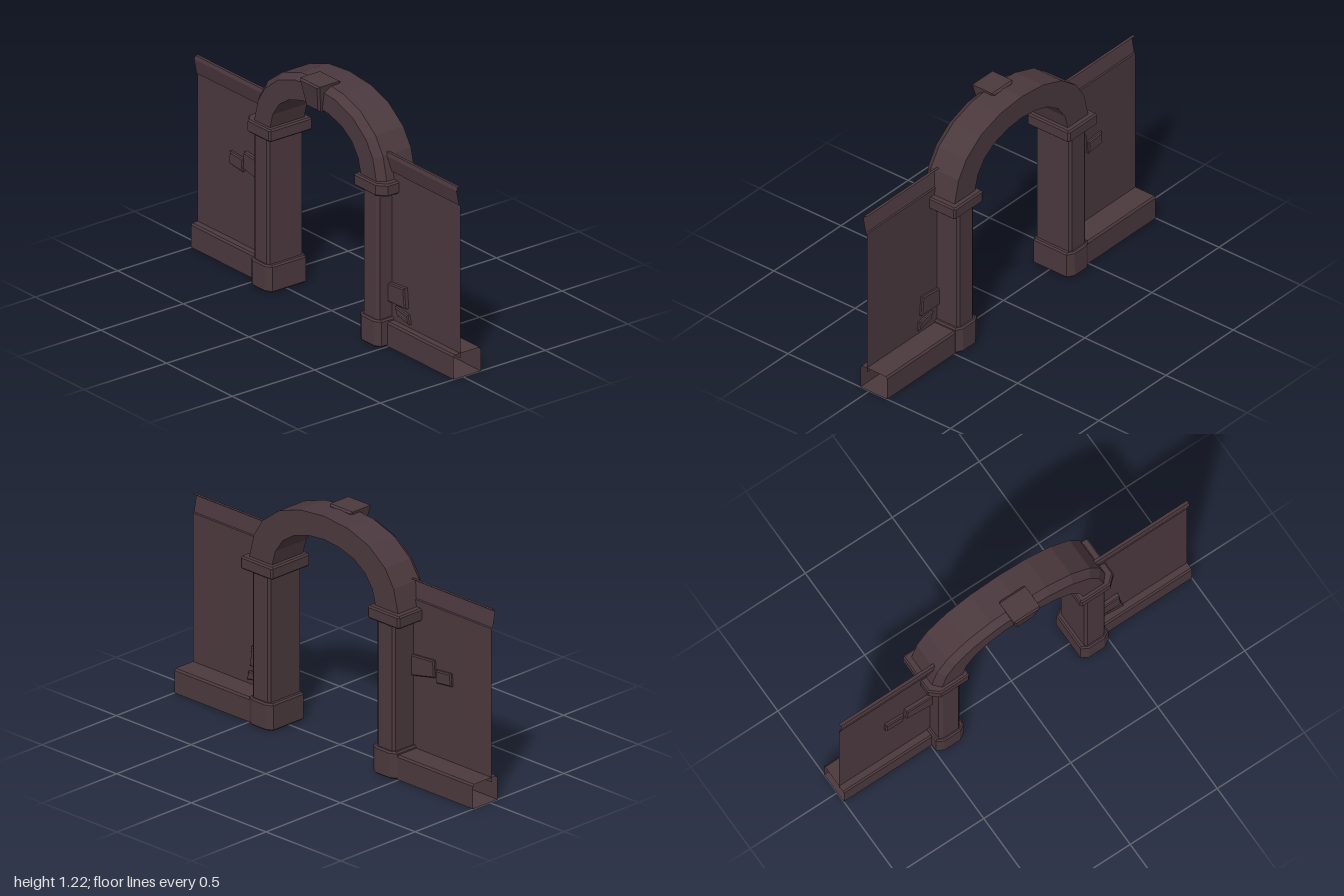
import * as THREE from 'three';

const stone = new THREE.MeshStandardMaterial({ color: 0x4a383d, side: THREE.DoubleSide, flatShading: true });
stone.name = 'darkStone';

function add(group, name, geometry) {
  const mesh = new THREE.Mesh(geometry, stone);
  mesh.name = name;
  group.add(mesh);
  return mesh;
}

// Skin a row of cross-sections (arrays of [x, y, z]); closed joins last point to first
function loft(rings, closed) {
  const n = rings[0].length, index = [];
  for (let i = 0; i < rings.length - 1; i++) {
    for (let j = 0; j < (closed ? n : n - 1); j++) {
      const k = (j + 1) % n;
      const a = i * n + j, b = a + n, c = (i + 1) * n + k, d = i * n + k;
      index.push(a, b, d, b, c, d);
    }
  }
  const g = new THREE.BufferGeometry();
  g.setAttribute('position', new THREE.Float32BufferAttribute(rings.flat(2), 3));
  g.setIndex(index);
  const flat = g.toNonIndexed();
  flat.computeVertexNormals();
  return flat;
}

// Sweep a [z, y] profile along x
const sweep = (profile, x0, x1, closed) =>
  loft([x0, x1].map(x => profile.map(([z, y]) => [x, y, z])), closed);

// Flat shape with a small chamfer on both ends, total thickness depth
function slab(points, depth, bevel) {
  const shape = new THREE.Shape(points.map(p => new THREE.Vector2(p[0], p[1])));
  return new THREE.ExtrudeGeometry(shape, {
    depth: depth - 2 * bevel, bevelEnabled: bevel > 0, bevelSegments: 1,
    bevelSize: bevel, bevelThickness: bevel, bevelOffset: -bevel,
  }).translate(0, 0, bevel);
}

// Upright block with chamfered corners; [cx, cz] is the chamfer, s the side
function block(s, xIn, xOut, zBack, zFront, y0, y1, inner, outer, bevel) {
  const pts = [
    [xIn + inner[0], zFront], [xOut - outer[0], zFront],
    [xOut, zFront - outer[1]], [xOut, zBack + inner[1]],
    [xOut - inner[0], zBack], [xIn + inner[0], zBack],
    [xIn, zBack + inner[1]], [xIn, zFront - inner[1]],
  ].map(([x, z]) => [s * x, -z]);
  return slab(pts, y1 - y0, bevel).rotateX(-Math.PI / 2).translate(0, y0, 0);
}

export function createModel() {
  const model = new THREE.Group();
  model.name = 'archedGateway';

  // Pillars and wall on each side
  for (const s of [1, -1]) {
    const side = new THREE.Group();
    side.name = s > 0 ? 'leftSide' : 'rightSide';
    model.add(side);

    add(side, 'pillarBase', block(s, 0.335, 0.495, -0.132, 0.112, 0, 0.14, [0.035, 0.02], [0.035, 0.02], 0.008));
    add(side, 'pillarShaft', block(s, 0.357, 0.478, -0.116, 0.098, 0.13, 0.8, [0.014, 0.01], [0.018, 0.012], 0));
    add(side, 'pillarCapital', block(s, 0.318, 0.532, -0.14, 0.12, 0.79, 0.855, [0.01, 0.008], [0.045, 0.04], 0.008));

    const x0 = s > 0 ? 0.43 : -1, x1 = s > 0 ? 1 : -0.43;
    add(side, 'wallPanel', sweep([[0.015, 0.1], [0.015, 0.89]], x0, x1));
    add(side, 'wallCoping', sweep([[0.015, 0.89], [0.022, 0.893], [0.037, 0.97], [0.03, 0.988], [0.015, 0.988]], x0, x1));
    add(side, 'wallPlinth', sweep([[0.055, 0], [0.055, 0.115], [0.047, 0.125],
      [-0.102, 0.125], [-0.11, 0.115], [-0.11, 0]], x0, x1, true));
  }

  // Arch: half outlines mirrored, with a chamfer on the outer front edge
  const outer = [[0.5, 0.845], [0.468, 0.975], [0.41, 1.065], [0.3, 1.148], [0.16, 1.195], [0, 1.21]];
  const rim = [[0.467, 0.845], [0.437, 0.965], [0.385, 1.045], [0.285, 1.122], [0.152, 1.168], [0, 1.183]];
  const inner = [[0.348, 0.845], [0.325, 0.93], [0.275, 1.0], [0.2, 1.05], [0.1, 1.08], [0, 1.09]];
  const rings = [];
  for (let i = 0; i <= 10; i++) {
    const k = i <= 5 ? i : 10 - i, s = i <= 5 ? 1 : -1;
    const at = (line, z) => [s * line[k][0], line[k][1], z];
    rings.push([at(outer, -0.11), at(outer, 0.06), at(rim, 0.098), at(inner, 0.098), at(inner, -0.11)]);
  }
  add(model, 'arch', loft(rings, true));

  // Keystone: wedge whose front leans outward at the top
  const key = slab([[-0.05, 1.073], [0.05, 1.073], [0.075, 1.217], [-0.075, 1.217]], 0.14, 0.01);
  const p = key.attributes.position;
  for (let i = 0; i < p.count; i++) {
    if (p.getZ(i) > 0.07) p.setZ(i, p.getZ(i) + (p.getY(i) - 1.217) * 0.17);
  }
  key.computeVertexNormals();
  add(model, 'keystone', key);

  // Exposed bricks set through the wall
  const bricks = [
    [[-0.63, 0.53], [-0.44, 0.49], [-0.44, 0.603], [-0.625, 0.617]],
    [[-0.742, 0.517], [-0.64, 0.506], [-0.635, 0.573], [-0.738, 0.582]],
    [[0.465, 0.22], [0.608, 0.223], [0.598, 0.327], [0.465, 0.315]],
    [[0.535, 0.165], [0.628, 0.147], [0.618, 0.193], [0.52, 0.208]],
  ];
  bricks.forEach((pts, i) => add(model, 'wallBrick' + (i + 1), slab(pts, i % 2 ? 0.033 : 0.039, 0.006)));

  return model;
}
